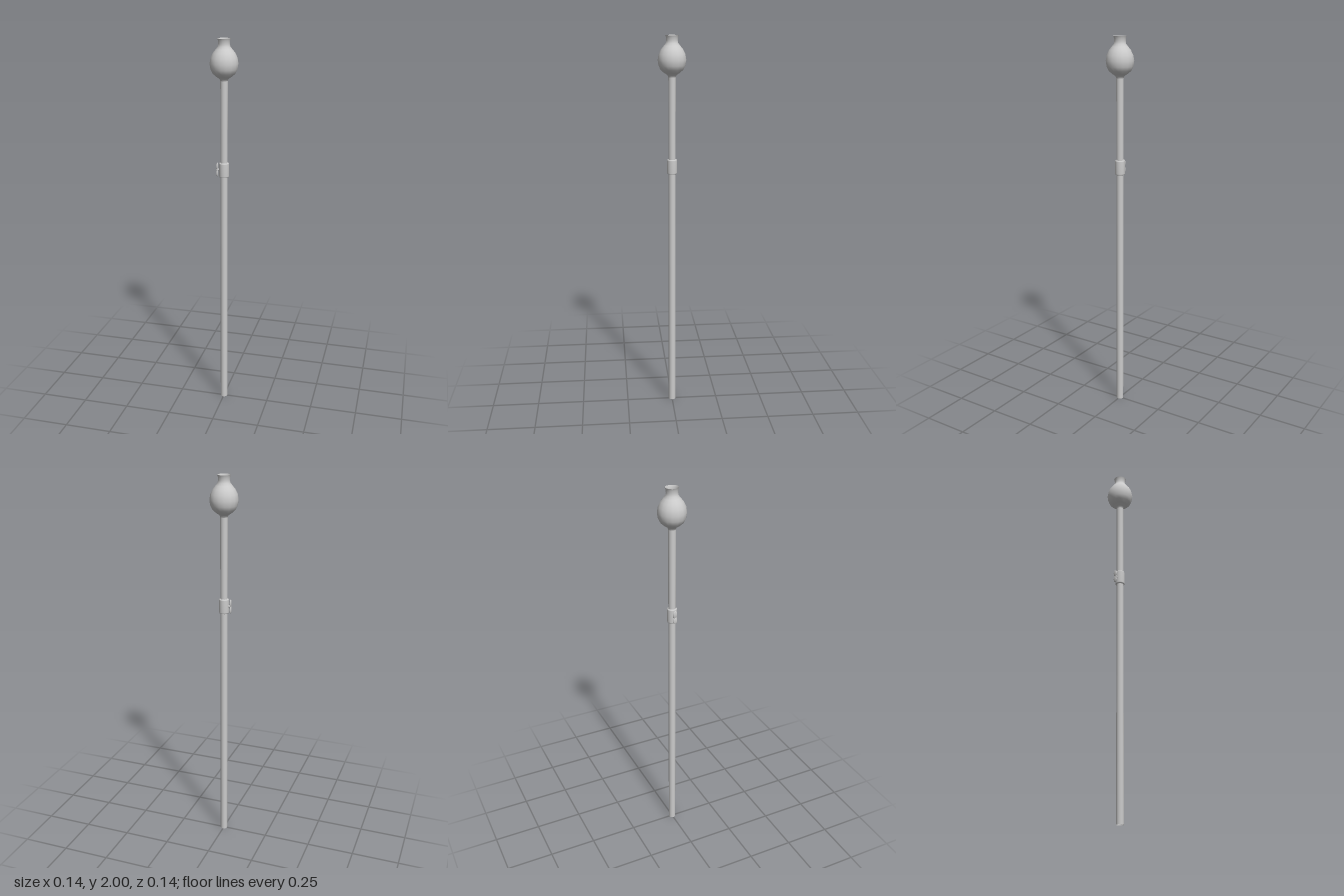
import * as THREE from 'three';

const material = new THREE.MeshStandardMaterial({ color: 0xcccccc, side: THREE.DoubleSide });

function addMesh(parent, name, geometry, x = 0, y = 0, z = 0) {
  const mesh = new THREE.Mesh(geometry, material);
  mesh.name = name;
  mesh.position.set(x, y, z);
  parent.add(mesh);
  return mesh;
}

function lathe(points) {
  return new THREE.LatheGeometry(points.map(([r, y]) => new THREE.Vector2(r, y)), 16);
}

export function createModel() {
  const model = new THREE.Group();
  model.name = 'thistleFunnel';

  // Long open tube
  addMesh(model, 'stem', lathe([[0.019, 0], [0.019, 1.8]]));

  // Hollow bulb with a short flared neck
  addMesh(model, 'bulb', lathe([
    [0.019, 1.795], [0.023, 1.805], [0.041, 1.817], [0.058, 1.832], [0.068, 1.853],
    [0.072, 1.88], [0.067, 1.908], [0.055, 1.932], [0.041, 1.949],
    [0.031, 1.962], [0.029, 1.975], [0.03, 1.99], [0.034, 2],
  ]));

  // Valve collar around the stem, with softened rims
  addMesh(model, 'valveCollar', lathe([
    [0.019, 1.3], [0.024, 1.301], [0.026, 1.306],
    [0.026, 1.371], [0.024, 1.376], [0.019, 1.377],
  ]));

  // Stopcock on the right: a short spindle and a two-lobed key
  const stopcock = new THREE.Group();
  stopcock.name = 'stopcock';
  stopcock.position.y = 1.339;
  model.add(stopcock);

  const spindle = new THREE.CylinderGeometry(0.006, 0.006, 0.018, 12).rotateZ(Math.PI / 2);
  addMesh(stopcock, 'spindle', spindle, -0.029);
  for (const side of [-1, 1]) {
    const lobe = new THREE.SphereGeometry(1, 12, 8).scale(0.004, 0.019, 0.012);
    addMesh(stopcock, 'keyLobe', lobe, -0.036, side * 0.018, 0);
  }
  return model;
}
